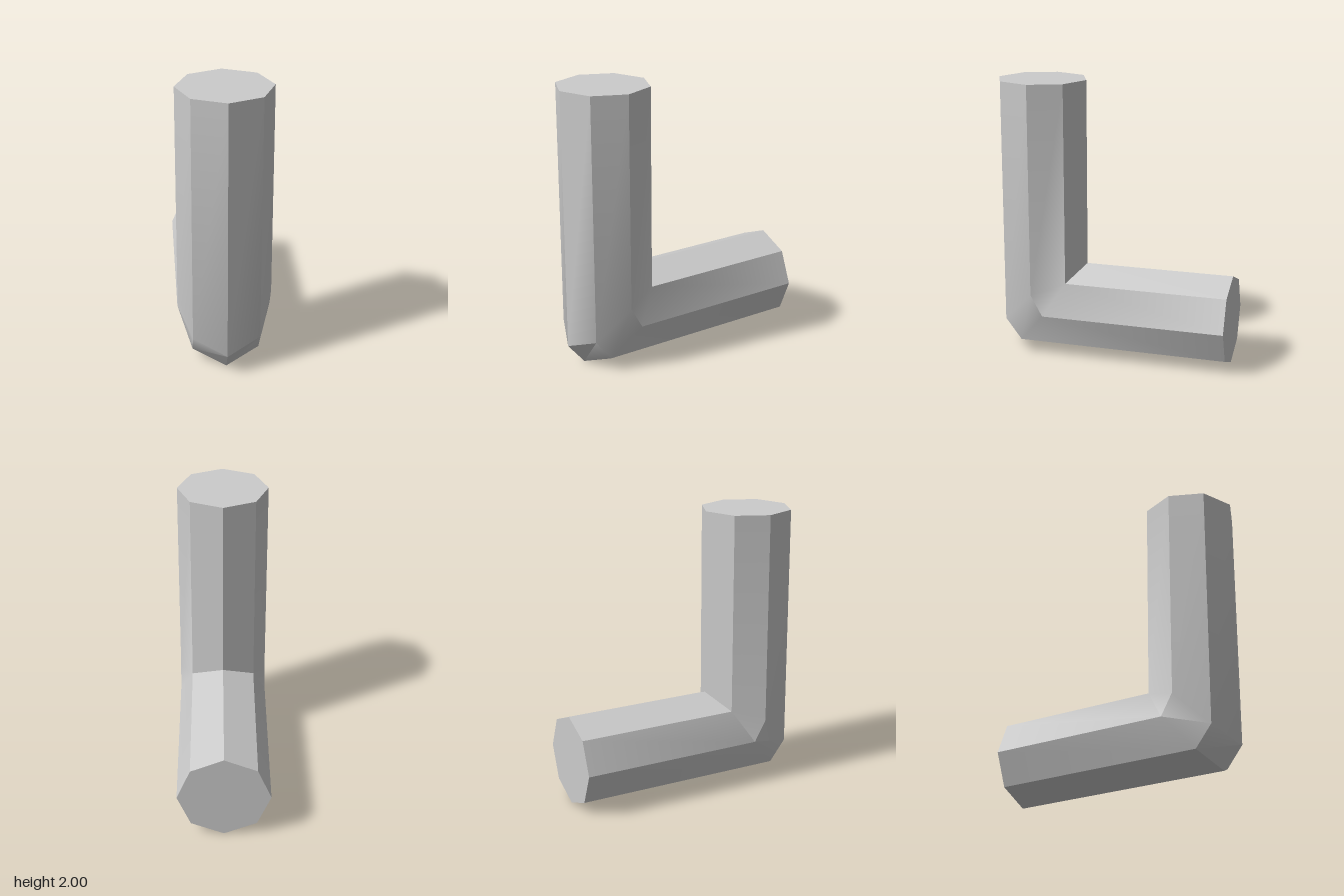
import * as THREE from 'three';
import { toCreasedNormals } from 'three/addons/utils/BufferGeometryUtils.js';

const R = 0.327;       // octagon radius
const Z = 0.541;       // axis of the upright leg
const BACK = -0.868;   // open end of the lying leg
const TOP = 2;

// Ends of each leg at the elbow, from the outer edge to the middle edge.
const LYING_END = [0.74, 0.655, 0.455];
const UPRIGHT_START = [0.155, 0.248, 0.48];

// Four octagonal cross-sections: back end, two at the elbow, top end.
function crossSections() {
  const rings = [[], [], [], []];
  for (let k = 0; k < 8; k++) {
    const a = (k * Math.PI) / 4;
    const x = R * Math.cos(a);
    const h = R * Math.sin(a); // towards the inside of the bend
    const level = [0, 1, 2, 1, 0][Math.abs(k - 2) % 4];
    const row = [2, 3, 4, 3, 2, 1, 0, 1][k];
    const inner = row > 2 && level >= 0; // inner edges meet in a mitre
    rings[0].push(new THREE.Vector3(x, R + h, BACK));
    rings[1].push(new THREE.Vector3(x, R + h, inner ? Z - h : LYING_END[row]));
    rings[2].push(new THREE.Vector3(x, inner ? R + h : UPRIGHT_START[row], Z - h));
    rings[3].push(new THREE.Vector3(x, TOP, Z - h));
  }
  return rings;
}

function elbowGeometry() {
  const rings = crossSections();
  const points = [];
  const triangle = (a, b, c) => {
    const area = b.clone().sub(a).cross(c.clone().sub(a)).length();
    if (area > 1e-6) points.push(a, b, c);
  };
  for (let k = 0; k < 8; k++) {
    const n = (k + 1) % 8;
    // Walls
    for (let i = 0; i < 3; i++) {
      triangle(rings[i][k], rings[i][n], rings[i + 1][n]);
      triangle(rings[i][k], rings[i + 1][n], rings[i + 1][k]);
    }
    // End caps
    triangle(new THREE.Vector3(0, R, BACK), rings[0][n], rings[0][k]);
    triangle(new THREE.Vector3(0, TOP, Z), rings[3][k], rings[3][n]);
  }
  const geometry = new THREE.BufferGeometry().setFromPoints(points);
  return toCreasedNormals(geometry, 0.6);
}

export function createModel() {
  const grey = new THREE.MeshStandardMaterial({ color: 0xcccccc });
  grey.name = 'light grey';

  const elbow = new THREE.Mesh(elbowGeometry(), grey);
  elbow.name = 'elbowBar';

  const model = new THREE.Group();
  model.name = 'octagonalElbow';
  model.add(elbow);
  return model;
}
